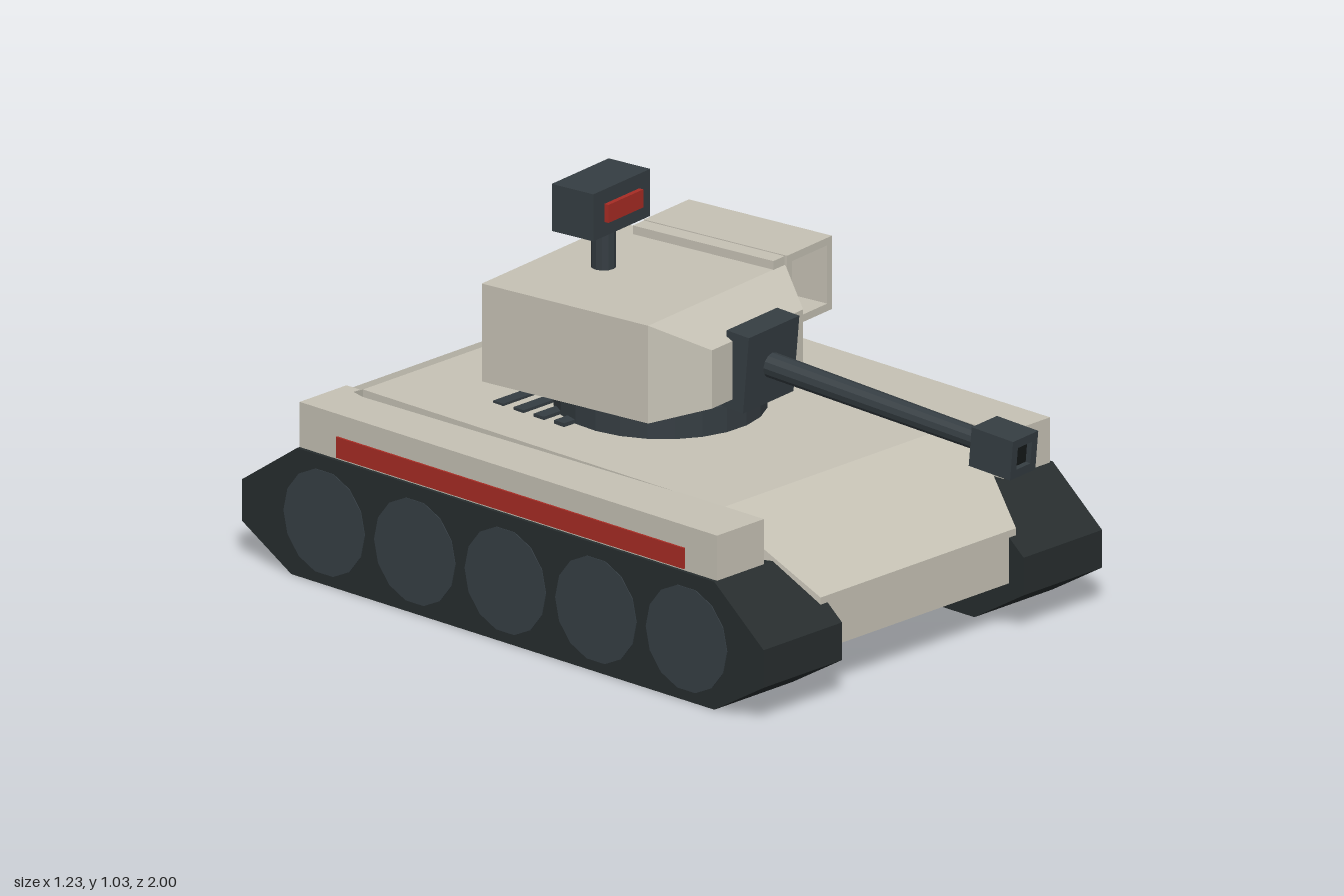
import * as THREE from 'three';

const paint = (color) => new THREE.MeshStandardMaterial({ color, flatShading: true });
const armour = paint(0xc6c2b5);
const dark = paint(0x353d42);
const rubber = paint(0x272d2e);
const wheelGrey = paint(0x363f45);
const red = paint(0xa82c24);
const black = paint(0x15191a);

function add(parent, name, geometry, material, x = 0, y = 0, z = 0) {
  const mesh = new THREE.Mesh(geometry, material);
  mesh.name = name;
  mesh.position.set(x, y, z);
  parent.add(mesh);
  return mesh;
}

const box = (w, h, d) => new THREE.BoxGeometry(w, h, d);

// Joins cross-sections [z, points] running back to front, points anticlockwise
function loft(sections) {
  const n = sections[0][1].length;
  const position = sections.flatMap(([z, pts]) => pts.flatMap(([x, y]) => [x, y, z]));
  const index = [];
  for (let s = 0; s < sections.length - 1; s++) {
    for (let j = 0; j < n; j++) {
      const a = s * n + j, b = s * n + (j + 1) % n;
      index.push(a, b, b + n, a, b + n, a + n);
    }
  }
  const last = (sections.length - 1) * n;
  for (let j = 1; j < n - 1; j++) {
    index.push(0, j + 1, j, last, last + j, last + j + 1);
  }
  const g = new THREE.BufferGeometry();
  g.setAttribute('position', new THREE.Float32BufferAttribute(position, 3));
  g.setIndex(index);
  const flat = g.toNonIndexed();
  flat.computeVertexNormals();
  return flat;
}

// Rectangular tube along z, centred
function frame(w, h, depth, wall) {
  const rect = (a, b) => [[-a, -b], [a, -b], [a, b], [-a, b]].map(([x, y]) => new THREE.Vector2(x, y));
  const shape = new THREE.Shape(rect(w / 2, h / 2));
  shape.holes.push(new THREE.Path(rect(w / 2 - wall, h / 2 - wall)));
  return new THREE.ExtrudeGeometry(shape, { depth, bevelEnabled: false }).translate(0, 0, -depth / 2);
}

function buildHull(tank) {
  // z, half width, top, shoulder height, bottom half width, bottom height
  const rows = [
    [-0.98, 0.405, 0.36, 0.21, 0.34, 0.1],
    [-0.72, 0.47, 0.48, 0.3, 0.34, 0.1],
    [0.49, 0.435, 0.457, 0.3, 0.34, 0.1],
    [0.55, 0.435, 0.413, 0.3, 0.34, 0.1],
    [0.75, 0.355, 0.26, 0.24, 0.34, 0.12],
  ];
  add(tank, 'hull', loft(rows.map(([z, w, top, mid, wb, bottom]) =>
    [z, [[-wb, bottom], [wb, bottom], [w, mid], [w, top], [-w, top], [-w, mid]]])), armour);

  // Engine vent slats
  for (let i = 0; i < 4; i++) {
    add(tank, 'ventSlat', box(0.61, 0.02, 0.035), dark, 0, 0.47, -0.2 - i * 0.07);
  }
}

function buildRunningGear(tank) {
  const outline = [[-1, 0.1], [-0.83, 0], [0.63, 0], [0.8, 0.1], [0.8, 0.2], [0.63, 0.34], [-0.81, 0.34], [-1, 0.21]];
  const shape = new THREE.Shape(outline.map(([z, y]) => new THREE.Vector2(z, y)));
  const trackGeo = new THREE.ExtrudeGeometry(shape, { depth: 0.285, bevelEnabled: false })
    .rotateY(-Math.PI / 2).translate(0.1425, 0, 0);
  const wheelGeo = new THREE.CylinderGeometry(0.14, 0.14, 0.03, 14).rotateZ(Math.PI / 2);

  for (const side of [1, -1]) {
    const group = new THREE.Group();
    group.name = side > 0 ? 'leftRunningGear' : 'rightRunningGear';
    tank.add(group);
    add(group, 'track', trackGeo, rubber, side * 0.4725);
    for (let i = 0; i < 5; i++) {
      add(group, 'roadWheel', wheelGeo, wheelGrey, side * 0.602, 0.165, 0.535 - i * 0.3125);
    }
    add(group, 'fender', box(0.17, 0.12, 1.44), armour, side * 0.52, 0.4, -0.09);
    add(group, 'sideStripe', box(0.02, 0.055, 1.2), red, side * 0.601, 0.373, -0.08);
  }
}

function buildTurret(tank) {
  const turret = new THREE.Group();
  turret.name = 'turret';
  turret.position.z = -0.14;
  turret.rotation.y = 0.115;
  tank.add(turret);

  add(turret, 'turretRing', new THREE.CylinderGeometry(0.27, 0.27, 0.09, 24), dark, 0, 0.49, 0);

  // Body with tapered nose
  const rect = (w, b, t) => [[-w, b], [w, b], [w, t], [-w, t]];
  add(turret, 'turretBody', loft([
    [-0.345, rect(0.285, 0.53, 0.79)],
    [0.176, rect(0.285, 0.53, 0.79)],
    [0.304, rect(0.19, 0.57, 0.725)],
  ]), armour);

  // Open-fronted side pod with a dark back panel
  add(turret, 'sidePod', frame(0.187, 0.195, 0.448, 0.02), armour, 0.375, 0.718, -0.039);
  add(turret, 'sidePodPanel', box(0.15, 0.158, 0.02), dark, 0.375, 0.718, -0.257);
  add(turret, 'sidePodBracket', box(0.06, 0.03, 0.44), armour, 0.265, 0.798, -0.043);

  // Periscope
  add(turret, 'scopePost', new THREE.CylinderGeometry(0.032, 0.032, 0.14, 12), dark, 0, 0.85, -0.178);
  add(turret, 'scopeHead', box(0.237, 0.125, 0.13), dark, 0, 0.965, -0.186);
  add(turret, 'scopeLens', box(0.145, 0.048, 0.02), red, 0, 0.965, -0.118);

  // Gun, tilted slightly down
  const gun = new THREE.Group();
  gun.name = 'gun';
  gun.position.set(0, 0.645, 0.312);
  gun.rotation.x = 0.09;
  turret.add(gun);
  add(gun, 'mantlet', box(0.21, 0.205, 0.07), dark);
  add(gun, 'barrel', new THREE.CylinderGeometry(0.028, 0.033, 0.74, 12).rotateX(Math.PI / 2), dark, 0, 0, 0.37);
  add(gun, 'muzzle', frame(0.105, 0.105, 0.13, 0.023), dark, 0, 0, 0.765);
  add(gun, 'bore', box(0.062, 0.062, 0.1), black, 0, 0, 0.765);
}

export function createModel() {
  const tank = new THREE.Group();
  tank.name = 'tank';
  buildHull(tank);
  buildRunningGear(tank);
  buildTurret(tank);
  return tank;
}
